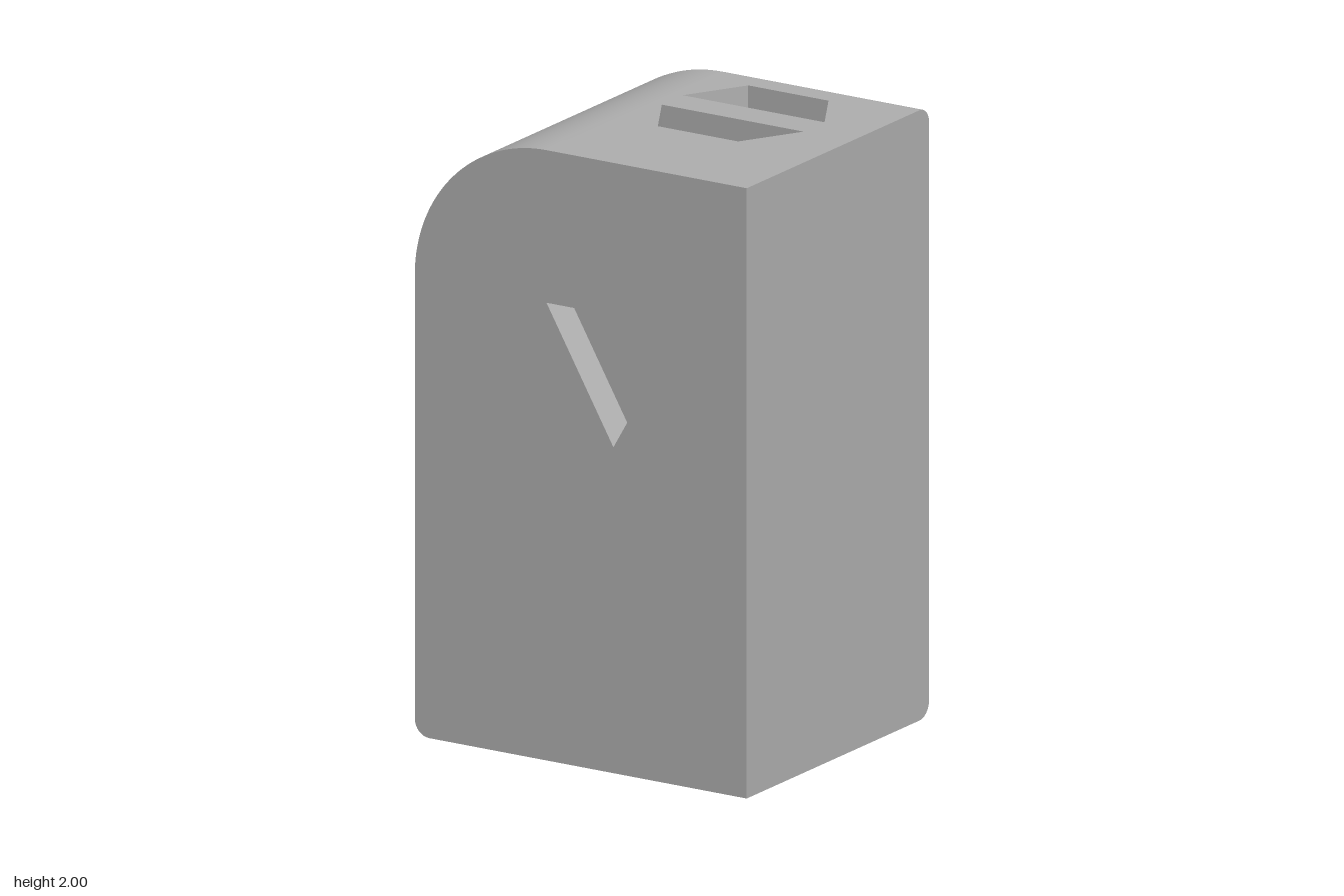
import * as THREE from 'three';
import { toCreasedNormals, mergeVertices } from 'three/addons/utils/BufferGeometryUtils.js';

const W = 0.62, H = 2, D = 0.525;   // half width, height, half depth
const R = 0.49, r = 0.055;          // big shoulder radius, small edge fillet
const SEAM = -W + R;                // where the shoulder curve meets the flat top
const PANEL = 0.405;                // back of the front panel
const SLIT_TOP = 1.78;

const v2 = (x, y) => new THREE.Vector2(x, y);
const plan = pts => pts.map(([x, z]) => v2(x, -z));
const crease = g => toCreasedNormals(g, 0.6);

// Points on an arc, angles in quarter turns
function arc(cx, cy, rad, a0, a1, n) {
  return Array.from({ length: n + 1 }, (_, i) => {
    const a = (a0 + (a1 - a0) * i / n) * Math.PI / 2;
    return [cx + rad * Math.cos(a), cy + rad * Math.sin(a)];
  });
}

// Rounded left side of the front silhouette, inset by i, from top to bottom
function sideOutline(i) {
  return [
    ...arc(SEAM, H - R, R - i, 1, 2, 32),
    ...arc(-W + r, r, r - i, 2, 3, 8),
    [SEAM, i],
  ];
}

// Extrude a plan shape upward through the heights ys, rounding the back edge at top and bottom
function extrudeUp(shape, ys) {
  const steps = ys.length - 1;
  const g = new THREE.ExtrudeGeometry(shape, { depth: 1, steps, bevelEnabled: false });
  g.rotateX(-Math.PI / 2);
  const p = g.attributes.position;
  for (let k = 0; k < p.count; k++) {
    const y = ys[Math.round(p.getY(k) * steps)];
    const d = Math.max(0, r - Math.min(y, H - y));
    const inset = r - Math.sqrt(Math.max(0, r * r - d * d));
    p.setY(k, y);
    p.setZ(k, Math.max(p.getZ(k), -D + inset));
  }
  return crease(g);
}

export function createModel() {
  const group = new THREE.Group();
  const grey = new THREE.MeshStandardMaterial({ color: 0xb0b0b0 });
  grey.name = 'grey plastic';
  const add = (name, g) => {
    const m = new THREE.Mesh(g, grey);
    m.name = name;
    group.add(m);
    return m;
  };

  // Front panel with the triangular recess
  const front = new THREE.Shape([...sideOutline(0), [W, 0], [W, H]].map(p => v2(...p)));
  front.holes.push(new THREE.Path([v2(-0.128, 1.5), v2(0.372, 1.5), v2(0.122, 1.068)]));
  const panel = new THREE.ExtrudeGeometry(front, { depth: D - PANEL, bevelEnabled: false });
  panel.translate(0, 0, PANEL);
  add('frontPanel', crease(panel));

  // Rounded right-hand side, lofted from front to back and closed across the back
  const rings = [sideOutline(0).map(([x, y]) => [x, y, PANEL])];
  for (let k = 0; k <= 8; k++) {
    const t = k / 8 * Math.PI / 2;
    const z = -D + r - r * Math.sin(t);
    rings.push(sideOutline(r * (1 - Math.cos(t))).map(([x, y]) => [x, y, z]));
  }
  rings.push(sideOutline(r).map(([, y]) => [SEAM, y, -D]));
  const n = rings[0].length, index = [];
  for (let k = 0; k < rings.length - 1; k++) {
    for (let j = 0; j < n - 1; j++) {
      const a = k * n + j, b = a + 1, d = a + n, c = d + 1;
      index.push(a, d, b, b, d, c);
    }
  }
  const loft = new THREE.BufferGeometry();
  loft.setAttribute('position', new THREE.Float32BufferAttribute(rings.flat(2), 3));
  loft.setIndex(index);
  add('roundedSide', crease(mergeVertices(loft)));

  // Heights that follow the small fillet at the bottom and the top
  const fillet = Array.from({ length: 9 }, (_, k) => r * (1 - Math.cos(k / 8 * Math.PI / 2)));
  const topFillet = fillet.map(y => H - y).reverse();

  // Lower core: hexagonal shaft with a round-edged slot through the back wall
  const x0 = 0.025, x1 = 0.325, zBack = -0.4, zFront = 0.12, zMid = -0.14;
  const lower = new THREE.Shape(plan([
    [SEAM, -D], [SEAM, PANEL], [W, PANEL], [W, -D],
    ...arc(x1 + r, -D + r, r, -1, -2, 8),
    [x1, zBack], [0.475, zMid], [x1, zFront], [x0, zFront], [-0.125, zMid], [x0, zBack],
    ...arc(x0 - r, -D + r, r, 0, -1, 8),
  ]));
  add('lowerCore', extrudeUp(lower, [...fillet, SLIT_TOP]));

  // Upper core: the shaft split in two by a crossbar
  const upper = new THREE.Shape(plan([[SEAM, -D], [SEAM, PANEL], [W, PANEL], [W, -D]]));
  for (const s of [-1, 1]) {
    upper.holes.push(new THREE.Path(plan([
      [-0.09, zMid + s * 0.06], [0.44, zMid + s * 0.06],
      [x1, zMid + s * 0.26], [x0, zMid + s * 0.26],
    ])));
  }
  add('upperCore', extrudeUp(upper, [SLIT_TOP, ...topFillet]));

  // Spring tongue hanging in the slot, with a rounded catch inside
  const t0 = 0.075, t1 = 0.275, tongueEnd = 0.96;
  const tongue = new THREE.Shape(plan([
    [t0, zBack], [t1, zBack],
    ...arc(t1 - r, -D + r, r, 0, -1, 8),
    ...arc(t0 + r, -D + r, r, -1, -2, 8),
  ]));
  add('tongue', extrudeUp(tongue, [tongueEnd, SLIT_TOP]));

  const c = 0.065;
  const catchGeo = new THREE.CylinderGeometry(c, c, t1 - t0, 32);
  catchGeo.rotateZ(Math.PI / 2);
  add('tongueCatch', catchGeo).position.set((t0 + t1) / 2, tongueEnd + c, zBack);

  return group;
}
